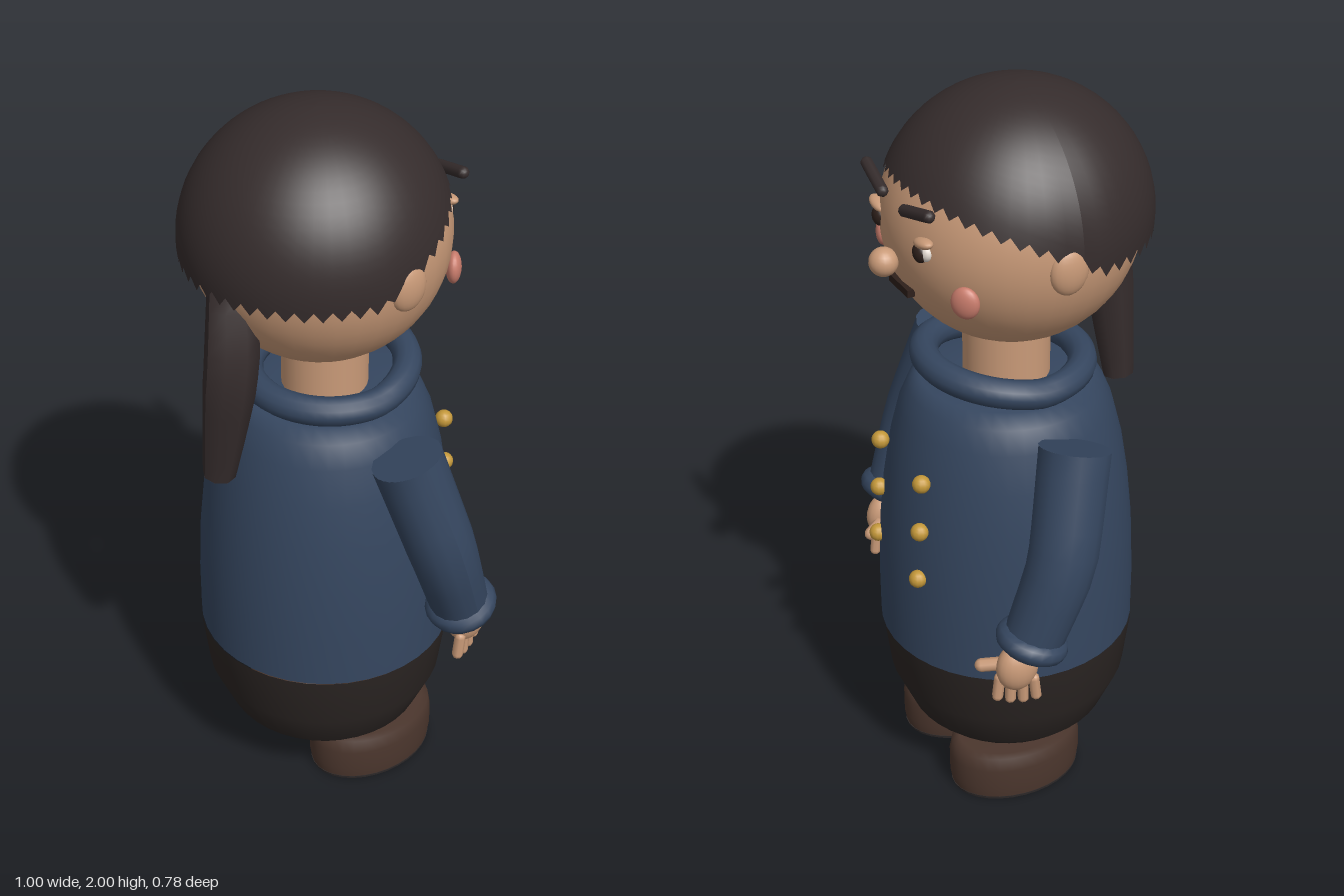
import * as THREE from 'three';

const mat = (name, color) => {
  const m = new THREE.MeshStandardMaterial({ color });
  m.name = name;
  return m;
};
const V = (x, y, z) => new THREE.Vector3(x, y, z);

export function createModel() {
  const root = new THREE.Group();
  const skin = mat('skin', 0xc99a78), hair = mat('hair', 0x352c2c), jacket = mat('jacket', 0x35465f);
  const trousers = mat('trousers', 0x2b2523), shoe = mat('shoe leather', 0x4b362d), sole = mat('sole', 0x302b2b);
  const gold = mat('gold', 0xc4983a), blush = mat('blush', 0xc97c6c), eye = mat('eye', 0x2e201b);
  const white = mat('eye white', 0xe6ddd4);

  const add = (name, geo, m, x = 0, y = 0, z = 0, parent = root) => {
    const mesh = new THREE.Mesh(geo, m);
    mesh.name = name;
    mesh.position.set(x, y, z);
    parent.add(mesh);
    return mesh;
  };
  const ball = (name, m, p, r, parent = root, seg = 20) => {
    const b = add(name, new THREE.SphereGeometry(1, seg, Math.ceil(seg * 0.7)), m, p[0], p[1], p[2], parent);
    b.scale.set(r[0], r[1] ?? r[0], r[2] ?? r[0]);
    return b;
  };
  const lathe = (pts, seg = 40) => new THREE.LatheGeometry(pts.map(p => new THREE.Vector2(p[0], p[1])), seg);

  // Tapered tube along points, with flat caps
  const limb = (name, m, pts, radii, sides, segs) => {
    const g = new THREE.Group();
    g.name = name;
    const curve = new THREE.CatmullRomCurve3(pts, false, 'catmullrom', 0.25);
    const geo = new THREE.TubeGeometry(curve, segs, 1, sides);
    const pos = geo.attributes.position, v = V(0, 0, 0);
    const radius = t => {
      const f = t * (radii.length - 1), i = Math.min(Math.floor(f), radii.length - 2);
      return THREE.MathUtils.lerp(radii[i], radii[i + 1], f - i);
    };
    for (let i = 0; i < pos.count; i++) {
      const t = Math.floor(i / (sides + 1)) / segs, c = curve.getPointAt(t);
      v.fromBufferAttribute(pos, i).sub(c).multiplyScalar(radius(t)).add(c);
      pos.setXYZ(i, v.x, v.y, v.z);
    }
    geo.computeVertexNormals();
    add(name + 'Surface', geo, m, 0, 0, 0, g);
    for (const t of [0, 1]) {
      const c = curve.getPointAt(t), dir = curve.getTangentAt(t).multiplyScalar(t ? 1 : -1);
      const cap = add(name + 'Cap', new THREE.CircleGeometry(radius(t), sides), m, c.x, c.y, c.z, g);
      cap.quaternion.setFromUnitVectors(V(0, 0, 1), dir);
    }
    root.add(g);
    return g;
  };

  // Body
  add('trousers', lathe([[0, 0.115], [0.17, 0.125], [0.24, 0.15], [0.275, 0.185], [0.325, 0.3], [0.345, 0.46]]),
    trousers, 0, 0, -0.015);
  add('jacket', lathe([[0.345, 0.46], [0.345, 0.6], [0.338, 0.76], [0.324, 0.9], [0.305, 1.02], [0.28, 1.12],
    [0.255, 1.18], [0.225, 1.215], [0.1, 1.215]]), jacket, 0, 0, -0.018);
  add('neck', new THREE.CylinderGeometry(0.113, 0.113, 0.22, 28), skin, 0, 1.29, -0.015);

  // Collar, rising toward the face
  const ring = [];
  for (let i = 0; i < 24; i++) {
    const a = i / 24 * Math.PI * 2, z = Math.sin(a);
    ring.push(V(0.207 * Math.cos(a), 1.248 + 0.03 * Math.max(0, -z), -0.025 + 0.203 * z));
  }
  add('collar', new THREE.TubeGeometry(new THREE.CatmullRomCurve3(ring, true), 48, 0.038, 12, true), jacket);

  // Head
  ball('head', skin, [0, 1.663, 0], [0.328], root, 36);
  ball('nose', skin, [0, 1.605, -0.352], [0.037]);

  // Hair cap with a hairline that rises at the face
  const cap = new THREE.SphereGeometry(1, 48, 20);
  const cp = cap.attributes.position, uv = cap.attributes.uv;
  for (let i = 0; i < cp.count; i++) {
    const phi = uv.getX(i) * Math.PI * 2, d = Math.sin(phi);
    const line = -0.055 + 0.185 * Math.pow(Math.max(0, 0.15 - d) / 1.15, 0.8);
    const theta = (1 - uv.getY(i)) * Math.acos(line / 0.337);
    cp.setXYZ(i, -Math.cos(phi) * Math.sin(theta) * 0.338, Math.cos(theta) * 0.337, d * Math.sin(theta) * 0.348);
  }
  cap.computeVertexNormals();
  hair.side = THREE.DoubleSide;
  add('hair', cap, hair, 0, 1.663, 0.012);
  limb('ponytail', hair, [V(0.01, 1.6, 0.28), V(0.05, 1.48, 0.305), V(0.06, 1.38, 0.322), V(0.028, 1.085, 0.342)],
    [0.058, 0.07, 0.067, 0.056, 0.043], 8, 10);

  // Mouth
  add('mouth', new THREE.BoxGeometry(0.105, 0.02, 0.02), eye, 0, 1.53, -0.305);

  for (const s of [1, -1]) {
    const side = s > 0 ? 'left' : 'right';
    // Face details
    ball(side + 'Ear', skin, [s * 0.318, 1.645, -0.018], [0.028, 0.065, 0.052]);
    const cheek = ball(side + 'Cheek', blush, [s * 0.222, 1.57, -0.245], [0.037, 0.042, 0.02]);
    cheek.rotation.y = -s * 0.73;
    ball(side + 'EyeWhite', white, [s * 0.115, 1.672, -0.298], [0.03, 0.025, 0.018]);
    ball(side + 'Iris', eye, [s * 0.112, 1.67, -0.307], [0.024, 0.026, 0.018]);
    const lid = ball(side + 'Eyelid', skin, [s * 0.122, 1.698, -0.303], [0.037, 0.014, 0.02]);
    lid.rotation.z = s * 0.2;
    const brow = add(side + 'Eyebrow', new THREE.CapsuleGeometry(0.016, 0.11, 4, 8), hair, s * 0.115, 1.775, -0.315);
    brow.rotation.set(0, -s * 0.1, Math.PI / 2 + s * 0.25);

    // Sleeve and cuff
    const shoulder = V(s * 0.345, 1.16, -0.008), elbow = V(s * 0.413, 0.88, -0.08), wrist = V(s * 0.402, 0.65, -0.16);
    limb(side + 'Sleeve', jacket, [shoulder, elbow, wrist], [0.093, 0.09, 0.078], 16, 8);
    const cuff = add(side + 'Cuff', new THREE.TorusGeometry(0.066, 0.031, 10, 20), jacket, s * 0.404, 0.655, -0.16);
    cuff.quaternion.setFromUnitVectors(V(0, 0, 1), wrist.clone().sub(elbow).normalize());

    // Hand
    ball(side + 'Palm', skin, [s * 0.39, 0.575, -0.195], [0.043, 0.07, 0.058]);
    for (let i = 0; i < 4; i++) {
      const f = add(side + 'Finger', new THREE.CapsuleGeometry(0.015, 0.055, 4, 8), skin,
        s * (0.412 - i * 0.014), 0.505 - (i === 1 || i === 2 ? 0.004 : -0.004), -0.155 - i * 0.028);
      f.rotation.x = (i - 1.5) * 0.08;
    }
    const thumb = add(side + 'Thumb', new THREE.CapsuleGeometry(0.018, 0.06, 4, 8), skin, s * 0.35, 0.572, -0.245);
    thumb.quaternion.setFromUnitVectors(V(0, 1, 0), V(-s * 0.5, -0.15, -0.8).normalize());

    // Shoe
    const boot = add(side + 'Shoe', lathe([[0.97, 0.006], [1, 0.04], [1, 0.1], [0.96, 0.14], [0.85, 0.148], [0, 0.148]], 32),
      shoe, s * 0.145, 0, -0.07);
    boot.scale.set(0.135, 1, 0.192);
    const base = add(side + 'Sole', new THREE.CylinderGeometry(0.98, 0.97, 0.008, 32), sole, s * 0.145, 0.004, -0.07);
    base.scale.set(0.135, 1, 0.192);

    // Buttons
    for (const y of [1.02, 0.875, 0.73]) {
      ball(side + 'Button', gold, [s * 0.12, y, -0.325 - (1.02 - y) * 0.06], [0.024], root, 12);
    }
  }
  return root;
}
